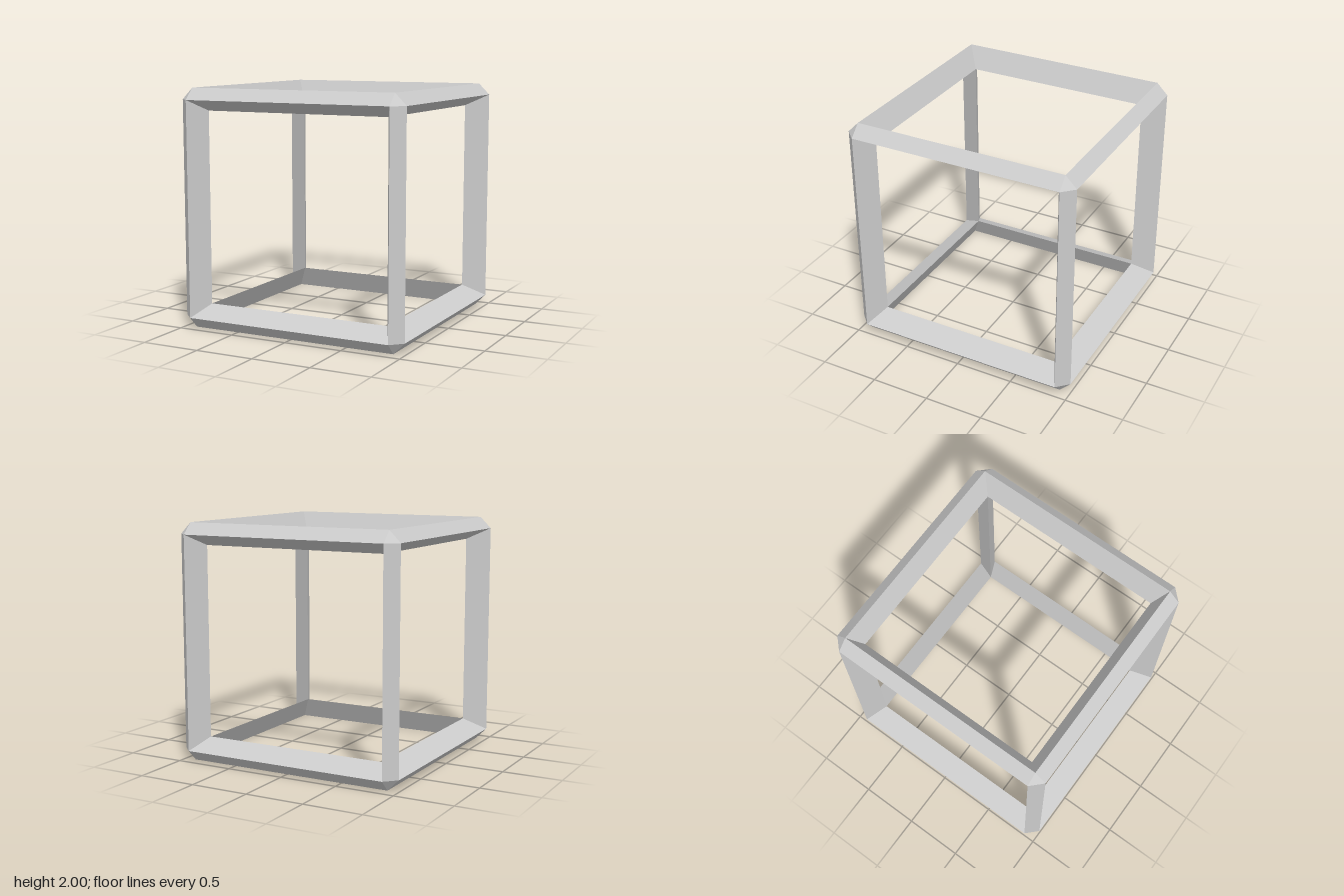
import * as THREE from 'three';

const OUTER = 1;     // half size of the cube
const RIDGE = 0.904; // where the chamfers begin
const INNER = 0.81;  // inner edge of the bars

const material = new THREE.MeshStandardMaterial({ color: 0xcccccc, flatShading: true });

// Flat faces from lists of corners, counter-clockwise
function facesGeometry(faces) {
  const points = [];
  for (const f of faces) {
    for (let i = 1; i < f.length - 1; i++) points.push(...f[0], ...f[i], ...f[i + 1]);
  }
  const geometry = new THREE.BufferGeometry();
  geometry.setAttribute('position', new THREE.Float32BufferAttribute(points, 3));
  geometry.computeVertexNormals();
  return geometry;
}

// Upright three-sided bar with mitred ends
function barGeometry() {
  const ends = [-1, 1].map((s) => ({
    front: [RIDGE, s * RIDGE, OUTER],
    side: [OUTER, s * RIDGE, RIDGE],
    inner: [INNER, s * INNER, INNER],
  }));
  const [low, high] = ends;
  const edges = [['front', 'side'], ['inner', 'front'], ['side', 'inner']];
  return facesGeometry(edges.map(([p, q]) => [low[p], low[q], high[q], high[p]]));
}

export function createModel() {
  const model = new THREE.Group();
  model.name = 'cubeFrame';
  const bar = barGeometry();
  const corner = facesGeometry([
    [[RIDGE, RIDGE, OUTER], [OUTER, RIDGE, RIDGE], [RIDGE, OUTER, RIDGE]],
  ]);

  // Four copies around the y axis, then the whole set turned
  function addRing(name, geometry, rx, rz) {
    const ring = new THREE.Group();
    ring.name = name + 's';
    for (let i = 0; i < 4; i++) {
      const mesh = new THREE.Mesh(geometry, material);
      mesh.name = name;
      mesh.rotation.y = (i * Math.PI) / 2;
      ring.add(mesh);
    }
    ring.rotation.set(rx, 0, rz);
    ring.position.y = OUTER;
    model.add(ring);
  }

  // Bars along each axis
  addRing('uprightBar', bar, 0, 0);
  addRing('depthBar', bar, Math.PI / 2, 0);
  addRing('crossBar', bar, 0, Math.PI / 2);

  // Cut-off corners
  addRing('topCorner', corner, 0, 0);
  addRing('bottomCorner', corner, Math.PI, 0);

  return model;
}
